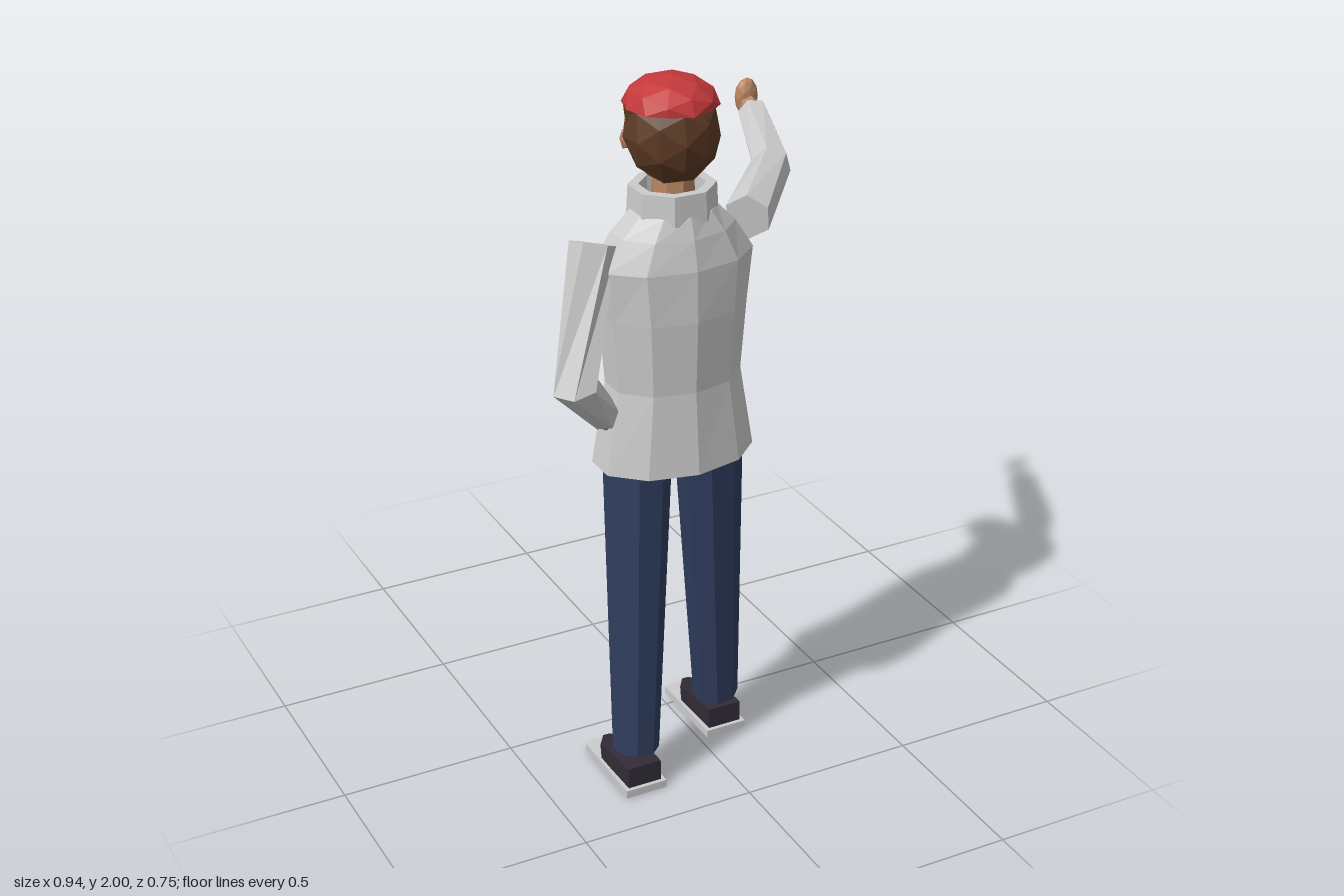
import * as THREE from 'three';

const mat = (color) => new THREE.MeshStandardMaterial({ color, flatShading: true, side: THREE.DoubleSide });
const M = {
  cloth: mat(0xcccccc), placket: mat(0xb4b4aa), dark: mat(0x2a2724), trousers: mat(0x2f3d5e), shoe: mat(0x322c36),
  skin: mat(0xb98562), hair: mat(0x5c3a24), cap: mat(0xc4393a), eye: mat(0x2a3158), mouth: mat(0x8a3a38),
};
const V = (p) => new THREE.Vector3(...p);

// Capped skin over elliptical rings set square to a path; radii are [rx, rz] or a single number
function loft(points, radii, sides, phase = 0) {
  const path = points.map(V), up = new THREE.Vector3(0, 1, 0), out = [];
  const rings = path.map((p, i) => {
    const dir = new THREE.Vector3();
    if (i > 0) dir.add(p.clone().sub(path[i - 1]).normalize());
    if (i < path.length - 1) dir.add(path[i + 1].clone().sub(p).normalize());
    const q = new THREE.Quaternion().setFromUnitVectors(up, dir.normalize());
    const [rx, rz] = [radii[i]].flat().length > 1 ? radii[i] : [radii[i], radii[i]];
    return Array.from({ length: sides }, (_, j) => {
      const a = phase + (j / sides) * Math.PI * 2;
      return new THREE.Vector3(Math.sin(a) * rx, 0, Math.cos(a) * rz).applyQuaternion(q).add(p);
    });
  });
  const tri = (...vs) => vs.forEach((v) => out.push(v.x, v.y, v.z));
  const last = rings.length - 1;
  for (let j = 0; j < sides; j++) {
    const k = (j + 1) % sides;
    for (let i = 0; i < last; i++) {
      const [a, b, c, d] = [rings[i][j], rings[i][k], rings[i + 1][k], rings[i + 1][j]];
      tri(a, b, c);
      tri(a, c, d);
    }
    tri(path[0], rings[0][k], rings[0][j]);
    tri(path[last], rings[last][j], rings[last][k]);
  }
  const g = new THREE.BufferGeometry();
  g.setAttribute('position', new THREE.Float32BufferAttribute(out, 3));
  g.computeVertexNormals();
  return g;
}

function add(parent, name, geometry, material, position = [0, 0, 0], scale = [1, 1, 1]) {
  const m = new THREE.Mesh(geometry, material);
  m.name = name;
  m.position.set(...position);
  m.scale.set(...scale);
  parent.add(m);
  return m;
}

const CX = -0.09, CZ = 0.21;
// Jacket rings: height, half width, half depth
const JACKET = [
  [0.95, 0.228, 0.152], [1.18, 0.189, 0.132], [1.38, 0.205, 0.14],
  [1.52, 0.222, 0.136], [1.6, 0.17, 0.118], [1.655, 0.115, 0.1],
];

function jacketFront(y) {
  let i = 0;
  while (i < JACKET.length - 2 && y > JACKET[i + 1][0]) i++;
  const [a, b] = [JACKET[i], JACKET[i + 1]];
  return CZ - THREE.MathUtils.lerp(a[2], b[2], (y - a[0]) / (b[0] - a[0]));
}

// Thin strip that follows the front of the jacket
function frontStrip(width, y0, y1, lift) {
  const g = new THREE.PlaneGeometry(width, y1 - y0, 2, 16);
  const p = g.attributes.position;
  for (let i = 0; i < p.count; i++) {
    const x = p.getX(i), y = p.getY(i) + (y0 + y1) / 2;
    p.setXYZ(i, CX - x, y, jacketFront(y) - lift + Math.abs(x) * 0.22);
  }
  g.computeVertexNormals();
  return g;
}

function buildJacket(root) {
  const jacket = new THREE.Group();
  jacket.name = 'jacket';
  root.add(jacket);
  add(jacket, 'torso', loft(JACKET.map((r) => [CX, r[0], CZ]), JACKET.map((r) => [r[1], r[2]]), 10), M.cloth);
  const ring = [[0.116, 1.635], [0.112, 1.715], [0.085, 1.715], [0.085, 1.635]].map((p) => new THREE.Vector2(...p));
  add(jacket, 'collar', new THREE.LatheGeometry(ring, 8, Math.PI / 8), M.cloth, [CX, 0, 0.205], [1.03, 1, 0.97]);
  add(jacket, 'placket', frontStrip(0.08, 1.0, 1.62, 0.004), M.placket);
  add(jacket, 'zip', frontStrip(0.01, 1.02, 1.5, 0.008), M.dark);
}

function buildArms(root) {
  // Stretched arm
  add(root, 'leftSleeve', loft([[0.13, 1.58, 0.205], [0.327, 1.617, -0.02], [0.408, 1.678, -0.268]],
    [0.064, 0.055, 0.043], 6, 0.3), M.cloth);
  add(root, 'leftWrist', loft([[0.404, 1.675, -0.25], [0.412, 1.686, -0.3]], [0.031, 0.031], 6), M.skin);
  add(root, 'leftFist', new THREE.IcosahedronGeometry(1, 1), M.skin, [0.432, 1.695, -0.351], [0.035, 0.055, 0.026]);
  // Arm with the hand on the hip
  add(root, 'rightSleeve', loft([[-0.315, 1.59, 0.205], [-0.415, 1.25, 0.3], [-0.29, 1.105, 0.215]],
    [0.062, 0.063, 0.043], 6, 0.3), M.cloth);
  add(root, 'rightHand', new THREE.IcosahedronGeometry(1, 1), M.skin, [-0.28, 1.09, 0.197], [0.032, 0.035, 0.04]);
}

function buildLegs(root) {
  const legs = [
    { side: 'left', top: [0.012, 1.0, 0.218], ankle: [0.08, 0.11, 0.15], foot: [0.083, 0.08] },
    { side: 'right', top: [-0.197, 1.0, 0.212], ankle: [-0.25, 0.11, 0.3], foot: [-0.253, 0.24] },
  ];
  for (const { side, top, ankle, foot: [x, z] } of legs) {
    add(root, side + 'TrouserLeg', loft([ankle, top], [0.064, 0.094], 8, Math.PI / 8), M.trousers);
    add(root, side + 'Sole', new THREE.BoxGeometry(0.122, 0.023, 0.264), M.cloth, [x, 0.0125, z]);
    add(root, side + 'Tread', new THREE.BoxGeometry(0.118, 0.002, 0.26), M.shoe, [x, 0.001, z]);
    // Shoe upper, heel to pointed toe
    add(root, side + 'Shoe', loft(
      [[x, 0.053, z + 0.12], [x, 0.051, z], [x, 0.043, z - 0.05], [x, 0.031, z - 0.125]],
      [[0.07, 0.045], [0.074, 0.038], [0.074, 0.03], [0.012, 0.011]], 4, Math.PI / 4), M.shoe);
  }
}

function buildHead(root) {
  add(root, 'neck', new THREE.CylinderGeometry(0.055, 0.06, 0.16, 8), M.skin, [CX, 1.7, 0.21]);

  const head = new THREE.Group();
  head.name = 'head';
  head.position.set(CX, 1.85, 0.195);
  head.rotation.y = -0.17;
  root.add(head);
  add(head, 'face', new THREE.IcosahedronGeometry(1, 2), M.skin, [0, 0, 0], [0.112, 0.133, 0.125]);

  // Hair shell: the back of a faceted ball, its edge sloping down behind the ears
  const ball = new THREE.IcosahedronGeometry(1, 1).attributes.position.array;
  const kept = [];
  for (let i = 0; i < ball.length; i += 9) {
    const y = (ball[i + 1] + ball[i + 4] + ball[i + 7]) / 3;
    const z = (ball[i + 2] + ball[i + 5] + ball[i + 8]) / 3;
    if (z > 0.02 - 0.45 * y) kept.push(...ball.slice(i, i + 9));
  }
  const shell = new THREE.BufferGeometry();
  shell.setAttribute('position', new THREE.Float32BufferAttribute(kept, 3));
  shell.computeVertexNormals();
  add(head, 'hair', shell, M.hair, [0, 0, 0.004], [0.128, 0.138, 0.131]);

  // Locks hanging under the cap, around the forehead and temples
  for (let i = -5; i <= 5; i++) {
    const a = i * 0.32, len = 0.05 + 0.012 * Math.abs(i);
    const lock = add(head, 'hairLock', new THREE.ConeGeometry(0.014, len, 4), M.hair,
      [Math.sin(a) * 0.108, 0.082 - len / 2, -Math.cos(a) * 0.118]);
    lock.rotation.set(Math.PI, -a, 0);
  }

  for (const s of [-1, 1]) {
    add(head, 'ear', new THREE.IcosahedronGeometry(1, 0), M.skin, [s * 0.118, -0.01, -0.005], [0.014, 0.03, 0.02]);
    add(head, 'eye', new THREE.IcosahedronGeometry(1, 1), M.eye, [s * 0.04, 0.0, -0.114], [0.012, 0.012, 0.008]);
    const brow = add(head, 'eyebrow', new THREE.BoxGeometry(0.034, 0.007, 0.01), M.hair, [s * 0.041, 0.024, -0.114]);
    brow.rotation.z = -s * 0.15;
  }
  const nose = add(head, 'nose', new THREE.ConeGeometry(0.014, 0.035, 4), M.skin, [0, -0.022, -0.125]);
  nose.rotation.x = 0.2;
  add(head, 'mouth', new THREE.BoxGeometry(0.034, 0.01, 0.012), M.mouth, [0, -0.062, -0.107]);

  // Cap crown: a faceted ball flattened below its middle
  const crown = new THREE.IcosahedronGeometry(1, 1);
  const p = crown.attributes.position;
  for (let i = 0; i < p.count; i++) p.setY(i, Math.max(p.getY(i), 0));
  crown.computeVertexNormals();
  add(root, 'capCrown', crown, M.cap, [CX, 1.925, 0.195], [0.124, 0.075, 0.131]);
  const peak = add(root, 'capPeak', new THREE.CylinderGeometry(0.087, 0.087, 0.01, 7, 1, false, 1.13), M.cap,
    [-0.052, 1.876, 0.048]);
  peak.rotation.x = -0.18;
}

export function createModel() {
  const root = new THREE.Group();
  root.name = 'standingFigure';
  buildJacket(root);
  buildArms(root);
  buildLegs(root);
  buildHead(root);
  return root;
}
